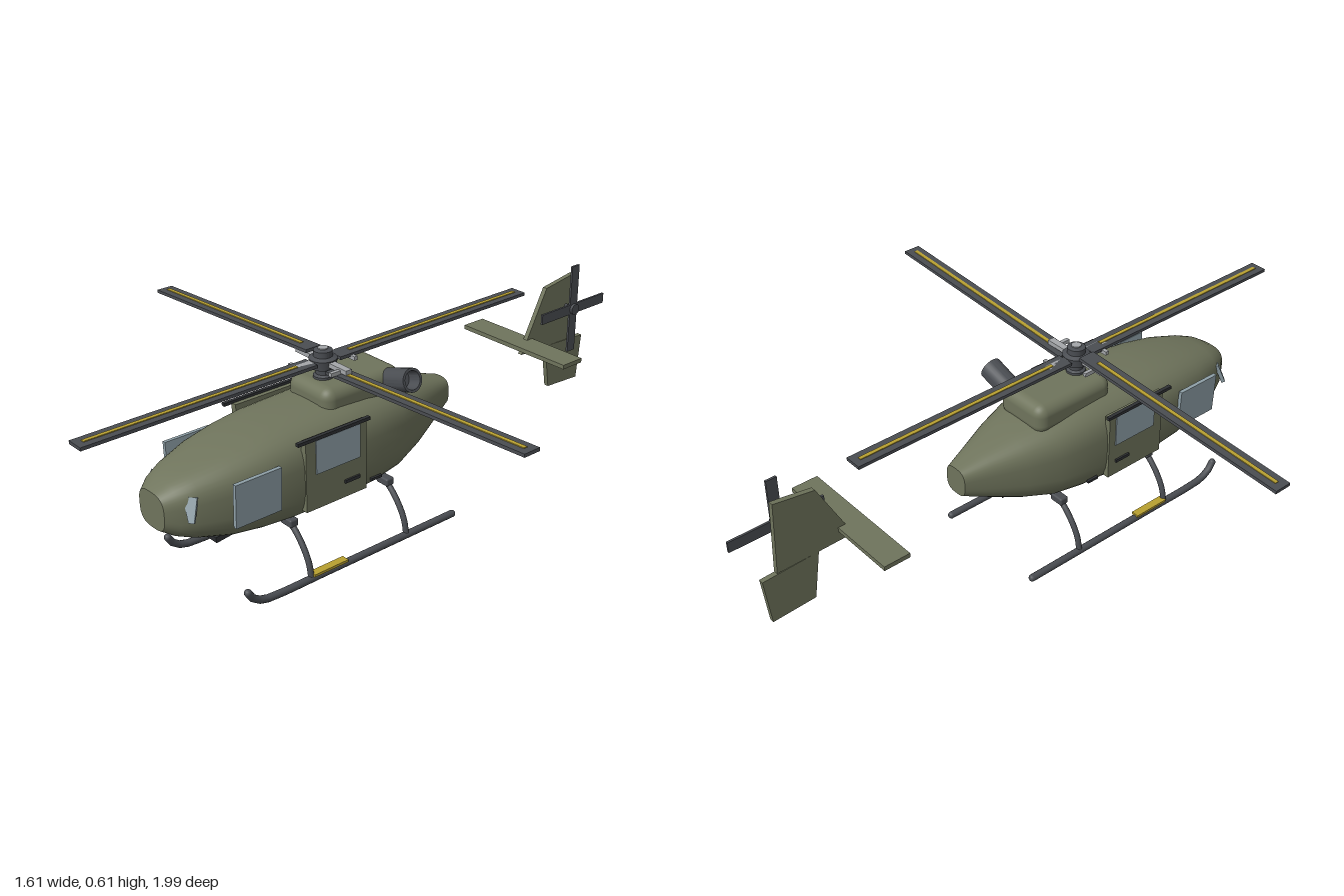
import * as THREE from 'three';
import { toCreasedNormals } from 'three/addons/utils/BufferGeometryUtils.js';
import { RoundedBoxGeometry } from 'three/addons/geometries/RoundedBoxGeometry.js';

const mat = (color, side = THREE.FrontSide) => new THREE.MeshStandardMaterial({ color, side });
const olive = mat(0x6f745c), dark = mat(0x4a4d52), yellow = mat(0xb8a030);
const glass = mat(0x8fa0a8), metal = mat(0xa4a7aa), black = mat(0x2e3033);

function add(parent, name, geo, material, x = 0, y = 0, z = 0) {
  const m = new THREE.Mesh(geo, material);
  m.name = name;
  m.position.set(x, y, z);
  parent.add(m);
  return m;
}
const box = (w, h, d) => new THREE.BoxGeometry(w, h, d);
const v3 = (x, y, z) => new THREE.Vector3(x, y, z);
const tube = (pts, r) => new THREE.TubeGeometry(new THREE.CatmullRomCurve3(pts), 28, r, 12);

// Fuselage stations: z, half width, bottom y, top y
const STATIONS = [
  [0.785, 0.06, 0.245, 0.355], [0.75, 0.088, 0.222, 0.378], [0.7, 0.112, 0.202, 0.398],
  [0.6, 0.143, 0.178, 0.425], [0.5, 0.158, 0.166, 0.443], [0.4, 0.165, 0.16, 0.455],
  [0.2, 0.165, 0.158, 0.464], [0.1, 0.16, 0.165, 0.459], [0, 0.148, 0.18, 0.446],
  [-0.1, 0.115, 0.21, 0.425], [-0.2, 0.074, 0.25, 0.398], [-0.28, 0.042, 0.285, 0.375],
];
const RING = 40;

// Rounded-square cross-section of one station
function section([, w, lo, hi]) {
  const pts = [], pow = (c) => Math.sign(c) * Math.abs(c) ** (2 / 3);
  for (let j = 0; j < RING; j++) {
    const a = (j / RING) * Math.PI * 2;
    pts.push(new THREE.Vector2(w * pow(Math.cos(a)), (lo + hi) / 2 + ((hi - lo) / 2) * pow(Math.sin(a))));
  }
  return pts;
}

function buildFuselage(g) {
  const pos = [], idx = [];
  STATIONS.forEach((s, i) => {
    section(s).forEach((p) => pos.push(p.x, p.y, s[0]));
    if (i === STATIONS.length - 1) return;
    for (let j = 0; j < RING; j++) {
      const a = i * RING + j, b = i * RING + ((j + 1) % RING);
      idx.push(a, a + RING, b, b, a + RING, b + RING);
    }
  });
  const skin = new THREE.BufferGeometry();
  skin.setAttribute('position', new THREE.Float32BufferAttribute(pos, 3));
  skin.setIndex(idx);
  skin.computeVertexNormals();
  add(g, 'fuselage', skin, olive);
  const first = STATIONS[0], last = STATIONS[STATIONS.length - 1];
  add(g, 'noseCap', new THREE.ShapeGeometry(new THREE.Shape(section(first))), olive, 0, 0, first[0]);
  add(g, 'rearCap', new THREE.ShapeGeometry(new THREE.Shape(section(last))), olive, 0, 0, last[0]).rotation.y = Math.PI;
}

// Doors, windows and fittings on one side (s = 1 left, -1 right)
function buildSide(g, s) {
  add(g, 'slidingDoor', box(0.02, 0.22, 0.22), olive, s * 0.16, 0.322, 0.28);
  add(g, 'doorWindow', box(0.006, 0.105, 0.16), glass, s * 0.17, 0.375, 0.275);
  add(g, 'doorRail', box(0.012, 0.01, 0.26), black, s * 0.17, 0.435, 0.29);
  add(g, 'doorHandle', box(0.008, 0.01, 0.055), black, s * 0.172, 0.263, 0.225);
  add(g, 'rearLatch', box(0.008, 0.008, 0.04), black, s * 0.155, 0.222, 0.12);
  add(g, 'cockpitWindow', box(0.012, 0.135, 0.155), glass, s * 0.163, 0.32, 0.552).rotation.z = s * -0.04;
  const pane = new THREE.Shape([[-0.02, 0.035], [0.02, 0.035], [0.016, -0.035], [0, -0.035]].map(([x, y]) => new THREE.Vector2(x * s, y)));
  const quarter = add(g, 'noseWindow', new THREE.ExtrudeGeometry(pane, { depth: 0.012, bevelEnabled: false }), glass, s * 0.095, 0.318, 0.725);
  quarter.rotation.set(-0.4, s * 0.7, 0, 'YXZ');
}

// Skid, its two legs and the yellow step
function buildSkid(g, s) {
  const x = s * 0.195;
  add(g, 'skid', tube([v3(x, 0.012, -0.155), v3(x, 0.012, 0.1), v3(x, 0.012, 0.35), v3(x, 0.012, 0.52),
    v3(x, 0.018, 0.575), v3(x, 0.038, 0.608), v3(x, 0.06, 0.622)], 0.0115), dark);
  for (const [z, y] of [[-0.155, 0.012], [0.622, 0.06]]) add(g, 'skidEnd', new THREE.SphereGeometry(0.0115, 12, 8), dark, x, y, z);
  for (const z of [0.4, 0.035]) {
    add(g, 'skidLeg', tube([v3(s * 0.06, 0.165, z), v3(s * 0.11, 0.152, z), v3(s * 0.155, 0.11, z),
      v3(s * 0.185, 0.06, z), v3(x, 0.015, z)], 0.009), dark);
    add(g, 'legMount', new RoundedBoxGeometry(0.05, 0.025, 0.03, 2, 0.006), dark, s * 0.1, 0.162, z);
  }
  add(g, 'skidStep', box(0.026, 0.008, 0.125), yellow, x, 0.025, 0.335);
}

// Blade lying along local +x, tilted end to end
function buildBlade(rotor, turn, tilt) {
  const arm = new THREE.Group();
  arm.name = 'mainBlade';
  arm.rotation.y = turn;
  rotor.add(arm);
  const blade = new THREE.Group();
  blade.position.set(0.425, 0, 0);
  blade.rotation.z = tilt;
  arm.add(blade);
  add(blade, 'bladeSpar', box(0.765, 0.01, 0.055), dark);
  add(blade, 'bladeStripe', box(0.69, 0.003, 0.012), yellow, 0.015, 0.006, 0);
  add(arm, 'bladeGrip', box(0.09, 0.014, 0.022), metal, 0.068, -0.002, 0);
  add(arm, 'pitchLink', box(0.012, 0.012, 0.04), metal, 0.085, -0.006, 0.025);
}

function buildMainRotor(g) {
  const rotor = new THREE.Group();
  rotor.name = 'mainRotor';
  rotor.position.set(0, 0.564, 0.185);
  g.add(rotor);
  const profile = [[0.001, -0.07], [0.03, -0.07], [0.03, -0.045], [0.022, -0.04], [0.022, -0.028], [0.038, -0.02],
    [0.042, 0.008], [0.028, 0.014], [0.028, 0.032], [0.018, 0.036], [0.001, 0.036]].map((p) => new THREE.Vector2(...p));
  add(rotor, 'rotorHub', toCreasedNormals(new THREE.LatheGeometry(profile, 24), 0.5), dark);
  add(rotor, 'hubCap', new THREE.CylinderGeometry(0.015, 0.015, 0.008, 20), metal, 0, 0.035, 0);
  [0.05, 0, -0.05, 0].forEach((tilt, i) => buildBlade(rotor, (i * Math.PI) / 2, tilt));
}

// Thin upright panel from z,y corners
function finPanel(g, name, corners) {
  const shape = new THREE.Shape(corners.map(([z, y]) => new THREE.Vector2(-z, y)));
  const geo = new THREE.ExtrudeGeometry(shape, { depth: 0.016, bevelEnabled: false });
  geo.translate(0, 0, -0.008);
  geo.rotateY(Math.PI / 2);
  add(g, name, geo, olive);
}

function buildTail(g) {
  finPanel(g, 'upperFin', [[-0.645, 0.34], [-0.893, 0.335], [-0.88, 0.565], [-0.75, 0.545]]);
  finPanel(g, 'lowerFin', [[-0.76, 0.338], [-0.785, 0.185], [-0.925, 0.178], [-0.94, 0.33]]);
  add(g, 'stabilizer', box(0.44, 0.014, 0.085), olive, 0, 0.378, -0.65);
  const rotor = new THREE.Group();
  rotor.name = 'tailRotor';
  rotor.position.set(0.038, 0.458, -0.85);
  g.add(rotor);
  add(rotor, 'tailBladeVertical', box(0.007, 0.3, 0.034), dark);
  add(rotor, 'tailBladeLevel', box(0.007, 0.034, 0.3), dark);
  const hub = new THREE.CylinderGeometry(0.018, 0.018, 0.026, 16);
  add(rotor, 'tailHub', hub, dark).rotation.z = Math.PI / 2;
  add(rotor, 'tailShaft', new THREE.CylinderGeometry(0.008, 0.008, 0.04, 12), dark, -0.018).rotation.z = Math.PI / 2;
}

export function createModel() {
  const g = new THREE.Group();
  g.name = 'helicopter';
  buildFuselage(g);
  for (const s of [1, -1]) {
    buildSide(g, s);
    buildSkid(g, s);
  }
  for (const z of [0.4, 0.035]) add(g, 'crossTube', tube([v3(-0.12, 0.162, z), v3(0.12, 0.162, z)], 0.009), dark);

  // Engine cowl and side exhaust
  add(g, 'engineCowl', new RoundedBoxGeometry(0.188, 0.1, 0.29, 4, 0.035), olive, 0, 0.462, 0.105);
  const pipe = [[0.001, -0.075], [0.034, -0.075], [0.036, 0.065], [0.028, 0.065], [0.026, 0.02], [0.001, 0.02]];
  const exhaust = add(g, 'exhaust', toCreasedNormals(new THREE.LatheGeometry(pipe.map((p) => new THREE.Vector2(...p)), 24), 0.5), dark, 0.12, 0.488, 0.005);
  exhaust.rotation.z = -1.27;

  // Belly fittings
  add(g, 'bellySensor', box(0.09, 0.018, 0.12), black, 0, 0.163, 0.555).rotation.x = 0.12;
  add(g, 'landingLight', new THREE.SphereGeometry(0.014, 16, 10), yellow, 0, 0.174, 0.63).scale.x = 1.6;
  add(g, 'bellyAntenna', new THREE.CylinderGeometry(0.003, 0.003, 0.06, 8), black, 0, 0.205, -0.105);

  buildMainRotor(g);
  buildTail(g);
  return g;
}
